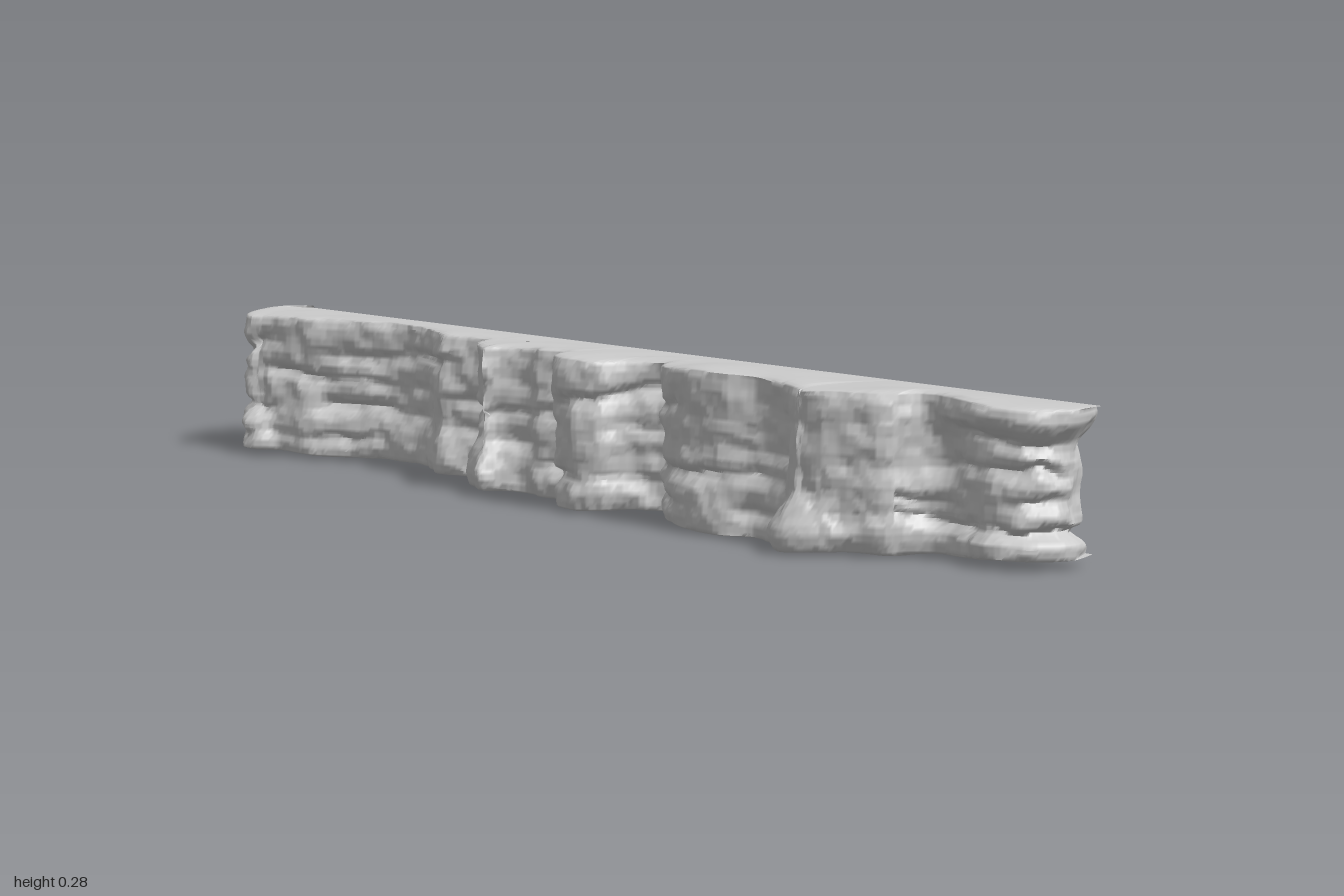
import * as THREE from 'three';
import { toCreasedNormals } from 'three/addons/utils/BufferGeometryUtils.js';

const BACK = -0.146;
const { lerp, smoothstep } = THREE.MathUtils;

// Foot outline seen from above: x, z, and how far the foot juts past the rim
const OUTLINE = [
  [-0.965, BACK, 0], [-0.975, -0.09, 0], [-0.97, -0.04, 0], [-0.95, 0.04, 0.01], [-0.92, 0.075, 0.025],
  [-0.87, 0.068, 0.03], [-0.84, 0.045, 0.015], [-0.78, 0.035, 0.01], [-0.72, 0.008, 0.01], [-0.66, -0.005, 0.01],
  [-0.61, -0.022, 0.012], [-0.51, -0.024, 0.012], [-0.46, 0, 0.012], [-0.42, 0.02, 0.012], [-0.38, 0.005, 0.01],
  [-0.325, -0.005, 0.01], [-0.31, 0.035, 0.015], [-0.28, 0.075, 0.03], [-0.22, 0.1, 0.025], [-0.195, 0.06, 0.015],
  [-0.16, 0.045, 0.01], [-0.12, 0.052, 0], [-0.07, 0.04, 0], [-0.045, 0.085, 0], [-0.01, 0.1, 0],
  [0.03, 0.107, 0.005], [0.075, 0.08, 0], [0.09, 0.045, 0], [0.125, 0.015, 0], [0.155, 0.003, 0],
  [0.175, 0.04, 0], [0.21, 0.075, 0.005], [0.26, 0.098, 0.01], [0.35, 0.105, 0.01], [0.39, 0.085, 0],
  [0.42, 0.07, 0], [0.48, 0.09, 0.02], [0.51, 0.125, 0.04], [0.55, 0.142, 0.045], [0.62, 0.11, 0.025],
  [0.65, 0.08, 0.005], [0.7, 0.05, 0], [0.73, 0.0, 0], [0.755, -0.016, 0], [0.81, -0.006, 0],
  [0.88, 0.003, 0], [0.94, -0.02, 0], [0.965, -0.06, 0], [0.975, -0.1, 0], [0.962, BACK, 0],
];

// Smooth value noise in -1..1
function hash(i, j, k) {
  const s = Math.sin(i * 127.1 + j * 311.7 + k * 74.7) * 43758.5453;
  return (s - Math.floor(s)) * 2 - 1;
}
function noise(x, y, seed) {
  const i = Math.floor(x), j = Math.floor(y);
  const fade = (t) => t * t * (3 - 2 * t);
  const u = fade(x - i), v = fade(y - j);
  const row = (r) => lerp(hash(i, r, seed), hash(i + 1, r, seed), u);
  return lerp(row(j), row(j + 1), v);
}

// Outward displacement of the wall: strata grooves, lumps and rounded lips
function relief(s, x, y, h) {
  const smoothBlock = x > 0.49 && x < 0.71 ? 0.25 : 1;
  // Wall sits slightly behind its top lip and foot
  let d = -0.006 * smoothBlock * Math.sqrt(Math.sin(Math.PI * h));
  [0.06, 0.105, 0.155, 0.21].forEach((g, i) => {
    const centre = g + 0.016 * noise(s * 6, i * 3.3, 5) + 0.008 * noise(s * 20, i, 6);
    const depth = 0.017 * Math.max(0, 0.4 + 0.9 * noise(s * 8, i * 2.7, 7));
    const width = y > centre ? 0.008 : 0.015;
    d -= smoothBlock * depth * Math.exp(-(((y - centre) / width) ** 2));
  });
  d += 0.004 * noise(s * 10, y * 14, 1) + 0.005 * noise(s * 26, y * 26, 2) + 0.003 * noise(s * 60, y * 60, 10);
  d -= 0.007 * h ** 18 + 0.009 * (1 - h) ** 16;
  // Overhanging lip and low ledge on the right end, bulging belly on the left end
  const end = smoothstep(x, 0.73, 0.78);
  d += end * (0.03 * smoothstep(y, 0.195, 0.25) + 0.014 * smoothstep(0.06 - y, 0, 0.02) - 0.009);
  d += 0.014 * smoothstep(-x, 0.9, 0.97) * Math.sin(h * Math.PI);
  return d;
}

function createCliffGeometry() {
  const COLS = 480, WALL = 40, CAP = 8;
  const curve = new THREE.CatmullRomCurve3(
    OUTLINE.map(([x, z, flare]) => new THREE.Vector3(x, flare, z)), false, 'centripetal');
  curve.arcLengthDivisions = 1000;
  const plan = curve.getSpacedPoints(COLS);
  const length = curve.getLength();
  const positions = [], index = [];
  const rows = WALL + 1 + 2 * CAP;

  plan.forEach((p, c) => {
    // Outward direction from a wide tangent, so notches do not fold over
    const a = plan[Math.max(0, c - 5)], b = plan[Math.min(COLS, c + 5)];
    const n = new THREE.Vector2(a.z - b.z, b.x - a.x).normalize();
    const s = (c / COLS) * length;
    const bottom = 0.013 + 0.003 * noise(p.x * 8, 0, 3)
      - 0.008 * Math.exp(-(((p.x - 0.5) / 0.2) ** 2)) + 0.006 * smoothstep(p.x, 0.7, 0.95);
    const top = 0.266 + 0.004 * noise(p.x * 11, 0, 4)
      + 0.011 * Math.exp(-(((p.x - 0.35) / 0.12) ** 2)) - 0.004 * smoothstep(p.x, 0.85, 1);

    const wall = [];
    for (let r = 0; r <= WALL; r++) {
      const h = r / WALL;
      const y = lerp(bottom, top, h);
      const inset = p.y * smoothstep(h, 0.08, 0.4);
      const d = relief(s, p.x, y, h) - inset;
      wall.push([p.x + n.x * d, y, Math.max(BACK, p.z + n.y * d)]);
    }
    // Slightly domed caps run from the wall rim to the open back edge
    const cap = ([x, y, z], t, edgeY, dome) => {
      const bulge = Math.sin(Math.PI * Math.sqrt(t)) * (1 + 0.5 * noise(x * 10, t * 3, 8)) * Math.min(1, (z - BACK) * 6);
      return [x, Math.max(0, lerp(y, edgeY, t) + dome * bulge), lerp(z, BACK, t)];
    };
    for (let r = CAP; r > 0; r--) positions.push(...cap(wall[0], (r / CAP) ** 2, 0.02, -0.008));
    wall.forEach((q) => positions.push(...q));
    for (let r = 1; r <= CAP; r++) positions.push(...cap(wall[WALL], (r / CAP) ** 2, 0.262, 0.006));
  });

  for (let c = 0; c < COLS; c++) {
    for (let r = 0; r < rows - 1; r++) {
      const i = c * rows + r, j = i + rows;
      index.push(i, j, j + 1, i, j + 1, i + 1);
    }
  }
  const geometry = new THREE.BufferGeometry();
  geometry.setAttribute('position', new THREE.Float32BufferAttribute(positions, 3));
  geometry.setIndex(index);
  return toCreasedNormals(geometry, 1.0);
}

export function createModel() {
  const group = new THREE.Group();
  group.name = 'rockCliff';
  // Hollow rock shell: floor, layered face, ends and top, open at the back
  const material = new THREE.MeshStandardMaterial({ color: 0xcccccc, side: THREE.DoubleSide });
  const shell = new THREE.Mesh(createCliffGeometry(), material);
  shell.name = 'cliffShell';
  group.add(shell);
  return group;
}
